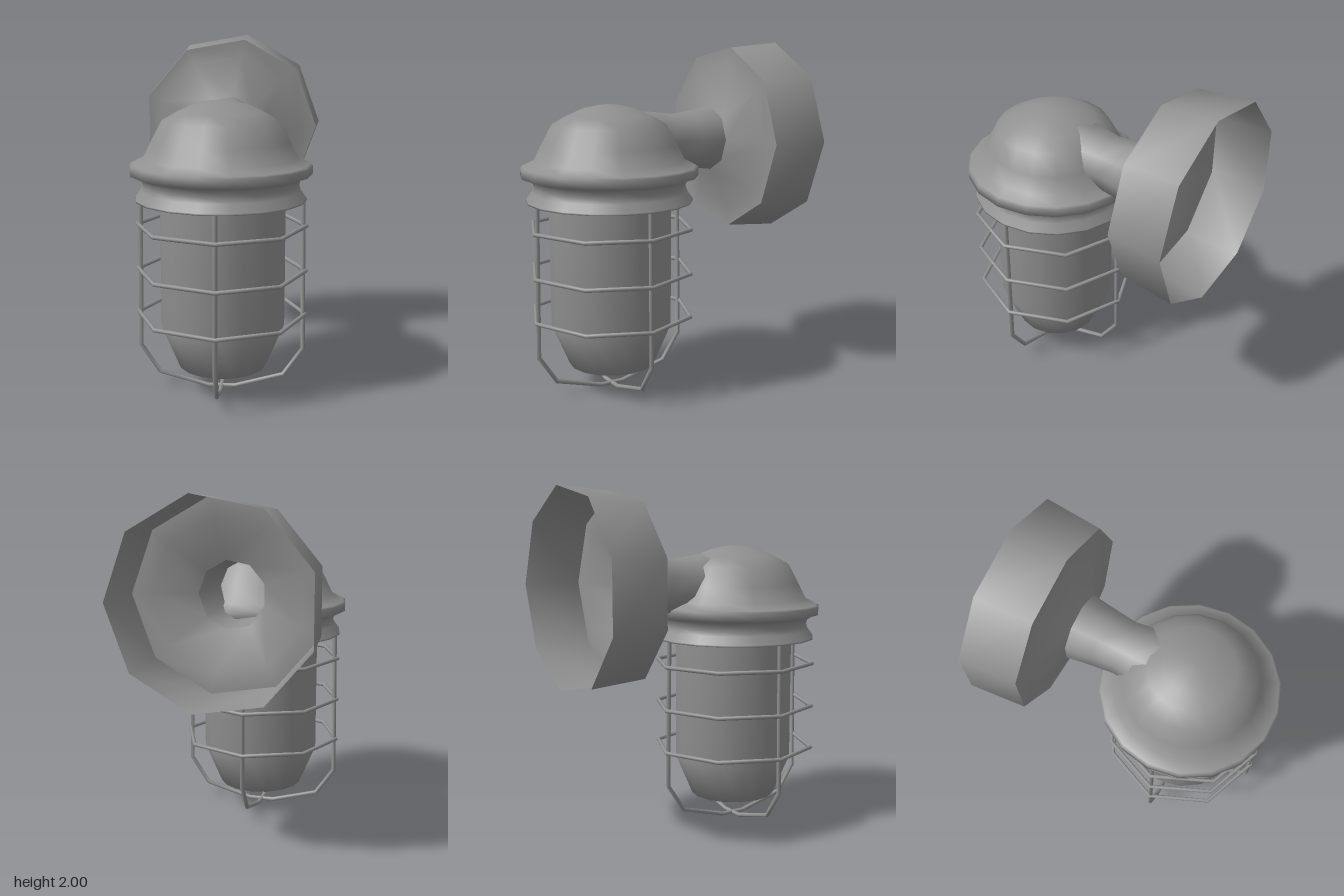
import * as THREE from 'three';
import { toCreasedNormals } from 'three/addons/utils/BufferGeometryUtils.js';

const material = new THREE.MeshStandardMaterial({ color: 0x909090, side: THREE.DoubleSide });
const AXIS_X = -0.02, LAMP_Z = 0.3, MOUNT_Y = 1.44;

// Smooth surface of revolution from [radius, height] pairs, with a vertex on the x axis
function lathe(name, profile, sides) {
  const points = profile.map(([r, h]) => new THREE.Vector2(r, h));
  const mesh = new THREE.Mesh(new THREE.LatheGeometry(points, sides, Math.PI / 2), material);
  mesh.name = name;
  return mesh;
}

// Straight-segment path with mitred corners, for bent wire
class BentPath extends THREE.Curve {
  constructor(points) {
    super();
    this.points = points;
  }
  getPointAt(u) {
    const s = u * (this.points.length - 1);
    const i = Math.min(Math.floor(s), this.points.length - 2);
    return this.points[i].clone().lerp(this.points[i + 1], s - i);
  }
  getPoint(t) {
    return this.getPointAt(t);
  }
  getTangentAt(u) {
    const last = this.points.length - 1, i = Math.round(u * last);
    const dir = (a) => this.points[a + 1].clone().sub(this.points[a]).normalize();
    return dir(Math.max(i - 1, 0)).add(dir(Math.min(i, last - 1))).normalize();
  }
}

export function createModel() {
  const model = new THREE.Group();
  model.name = 'cagedWallLamp';

  const lamp = new THREE.Group();
  lamp.name = 'lamp';
  lamp.position.set(AXIS_X, 0, LAMP_Z);
  model.add(lamp);

  // Domed cap with a rolled rim and a flared collar below
  lamp.add(lathe('cap', [
    [0.34, 1.13], [0.478, 1.115], [0.478, 1.125], [0.445, 1.17], [0.435, 1.2], [0.445, 1.235],
    [0.465, 1.248], [0.508, 1.262], [0.51, 1.308], [0.495, 1.318], [0.43, 1.35],
    [0.385, 1.44], [0.325, 1.552], [0.24, 1.6], [0.15, 1.64], [0.06, 1.66], [0, 1.662],
  ], 18));

  // Glass globe
  const globe = lathe('globe', [[0, 0.085], [0.25, 0.15], [0.352, 0.39], [0.352, 1.14]], 16);
  globe.position.x = 0.01;
  lamp.add(globe);

  // Wire cage: two crossing U-shaped bars and three octagonal hoops
  const cage = new THREE.Group();
  cage.name = 'cage';
  cage.position.x = 0.004;
  lamp.add(cage);
  const half = [[0.455, 1.12], [0.465, 0.25], [0.355, 0.09], [0.075, 0.013]];
  const bar = [
    ...half.map(([x, y]) => new THREE.Vector3(-x, y, 0)),
    ...half.map(([x, y]) => new THREE.Vector3(x, y, 0)).reverse(),
  ];
  const barGeometry = new THREE.TubeGeometry(new BentPath(bar), bar.length - 1, 0.013, 8);
  for (let i = 0; i < 2; i++) {
    const mesh = new THREE.Mesh(barGeometry, material);
    mesh.name = 'cageBar';
    mesh.rotation.y = i * Math.PI / 2;
    cage.add(mesh);
  }
  const hoopGeometry = new THREE.TorusGeometry(0.475, 0.012, 8, 8).rotateX(Math.PI / 2);
  for (const y of [0.453, 0.708, 0.966]) {
    const hoop = new THREE.Mesh(hoopGeometry, material);
    hoop.name = 'cageHoop';
    hoop.position.y = y;
    cage.add(hoop);
  }

  // Open-backed wall mount, sharp at its rims, with a tapering neck that runs into the cap
  const mount = lathe('wallMount', [
    [0.57, -0.8], [0.543, -0.472], [0.437, -0.47], [0.192, -0.375],
    [0.172, -0.23], [0.157, -0.1], [0.168, -0.02], [0.182, 0.1],
  ], 9);
  mount.geometry = toCreasedNormals(mount.geometry, 0.8);
  mount.rotation.x = Math.PI / 2;
  mount.position.set(AXIS_X, MOUNT_Y, 0);
  model.add(mount);

  return model;
}
